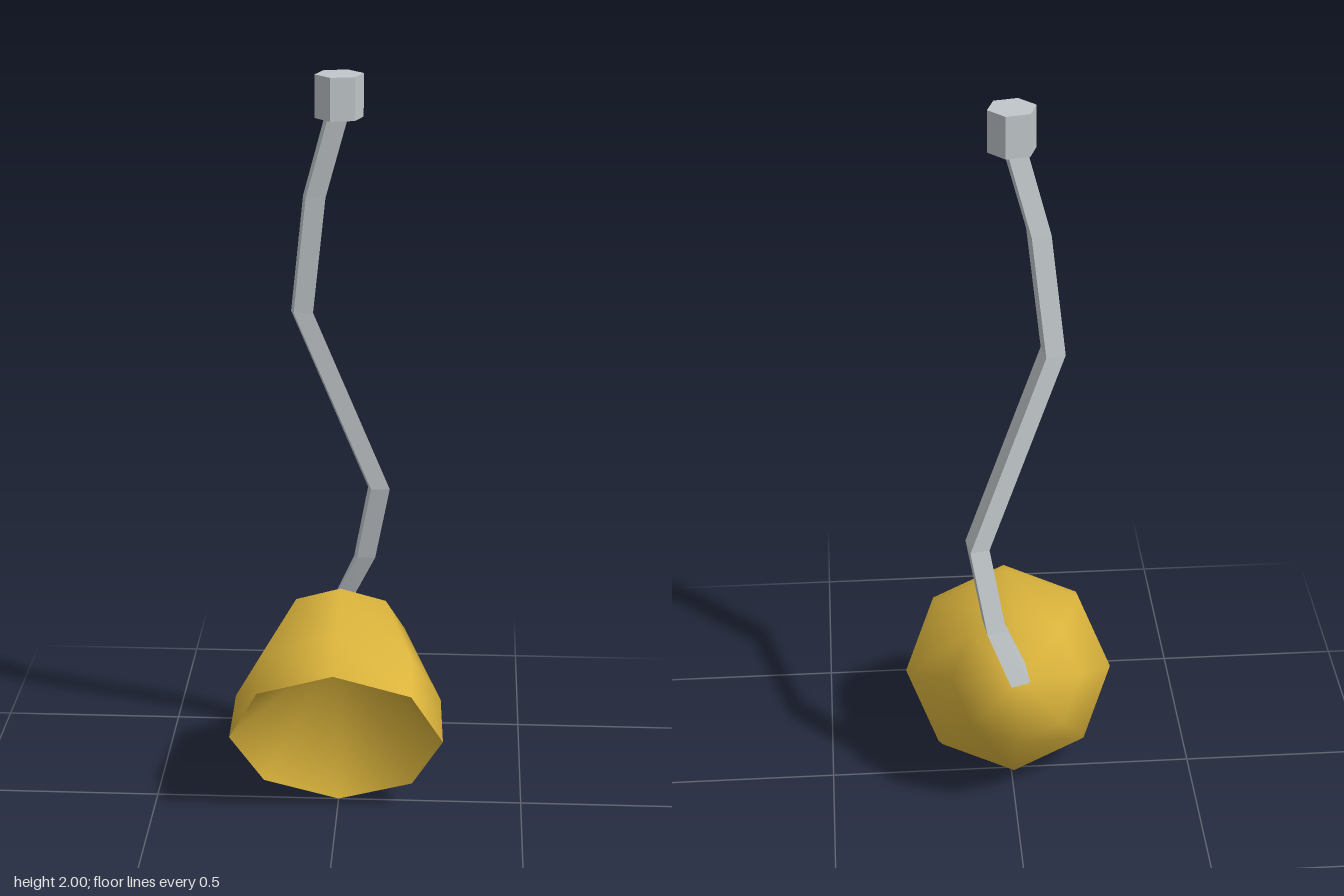
import * as THREE from 'three';
import { mergeVertices } from 'three/addons/utils/BufferGeometryUtils.js';

const yellow = new THREE.MeshStandardMaterial({ color: 0xdbb43c });
yellow.name = 'mustard enamel';
const grey = new THREE.MeshStandardMaterial({ color: 0xc0c6c9 });
grey.name = 'pale grey metal';
grey.flatShading = true;

// Eight-sided lathe with normals smoothed across the seam and the apex
function smoothLathe(profile) {
  const lathe = new THREE.LatheGeometry(profile.map(([r, y]) => new THREE.Vector2(r, y)), 8);
  lathe.deleteAttribute('normal');
  lathe.deleteAttribute('uv');
  const geometry = mergeVertices(lathe, 1e-4);
  geometry.computeVertexNormals();
  return geometry;
}

// Square tube whose cross-sections are [x, y, z, tilt], from top to bottom
function squareTube(sections) {
  const corners = [[-0.03, -0.02], [0.02, -0.03], [0.03, 0.02], [-0.02, 0.03]];
  const rings = sections.map(([x, y, z, tilt]) =>
    corners.map(([dx, dz]) => [x + dx, y + dz * tilt, z + dz]));
  const positions = [];
  const quad = (a, b, c, d) => positions.push(...a, ...b, ...c, ...a, ...c, ...d);
  for (let i = 0; i < rings.length - 1; i++) {
    const p = rings[i], q = rings[i + 1];
    for (let k = 0; k < 4; k++) {
      const n = (k + 1) % 4;
      quad(p[n], q[n], q[k], p[k]);
    }
  }
  quad(...rings[0].slice().reverse());
  quad(...rings[rings.length - 1]);
  const geometry = new THREE.BufferGeometry();
  geometry.setAttribute('position', new THREE.Float32BufferAttribute(positions, 3));
  geometry.computeVertexNormals();
  return geometry;
}

export function createModel() {
  const model = new THREE.Group();
  model.name = 'hangingLamp';
  const add = (parent, name, geometry, material) => {
    const mesh = new THREE.Mesh(geometry, material);
    mesh.name = name;
    parent.add(mesh);
    return mesh;
  };

  // Bell shade, opening forward and down
  const shade = new THREE.Group();
  shade.name = 'shade';
  add(shade, 'shadeOuter', smoothLathe([[0.2855, 0], [0.277, 0.136], [0.173, 0.375], [0, 0.475]]), yellow);
  add(shade, 'shadeInner', smoothLathe([[0, 0.315], [0.2855, 0]]), yellow);
  shade.position.set(0, 0.2475, 0.143);
  shade.rotation.x = -Math.PI / 3;
  model.add(shade);

  // Crooked stem
  add(model, 'stem', squareTube([
    [-0.005, 1.9, -0.027, 0],
    [-0.065, 1.68, -0.05, 0.1],
    [-0.1, 1.365, -0.085, 0.15],
    [0.1, 0.85, -0.17, 0.2],
    [0.06, 0.63, -0.22, 0.3],
    [0.0, 0.495, -0.255, 0.6],
  ]), grey);

  // Hexagonal ceiling mount
  const mount = add(model, 'ceilingMount', new THREE.CylinderGeometry(0.0625, 0.0625, 0.11, 6), grey);
  mount.position.set(0, 1.945, -0.027);
  mount.rotation.y = THREE.MathUtils.degToRad(42);

  return model;
}
